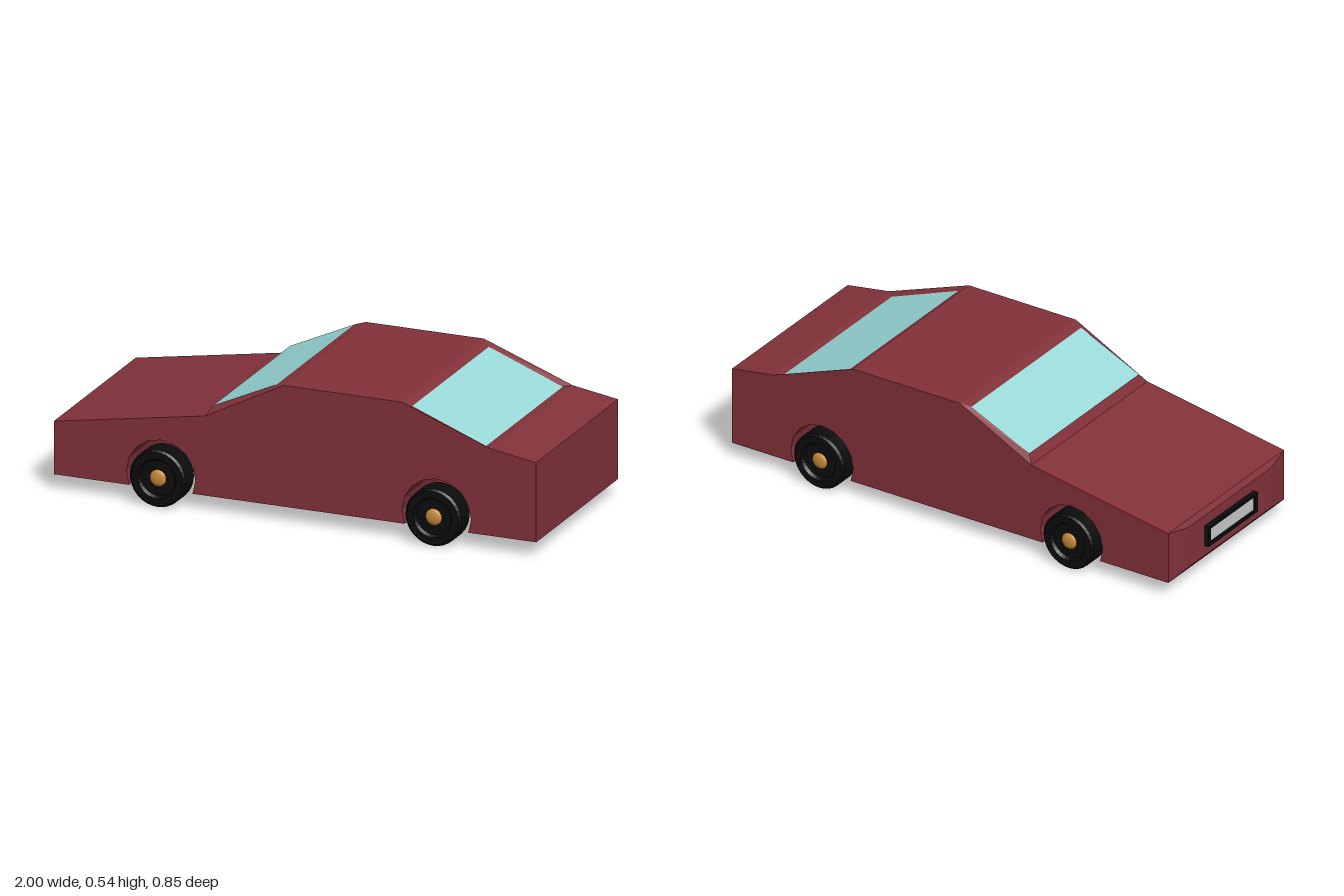
import * as THREE from 'three';

const Z0 = -0.4, Z1 = 0.38;
const WHEEL_X = [-0.53, 0.59], WHEEL_Y = 0.115;

const mat = (color) => new THREE.MeshStandardMaterial({ color });
const paint = mat(0x83323a), glass = mat(0x9adada), rubber = mat(0x0c0c0c);
const brass = mat(0xc98c3c), metal = mat(0xcccccc);

function addMesh(parent, name, geometry, material) {
  const mesh = new THREE.Mesh(geometry, material);
  mesh.name = name;
  parent.add(mesh);
  return mesh;
}

// Flat-shaded geometry from a list of triangle corners
function faceted(corners) {
  const g = new THREE.BufferGeometry().setFromPoints(corners);
  g.computeVertexNormals();
  return g;
}

const quad = (a, b, c, d) => [a, b, c, a, c, d];

// Four corners of a panel spanning profile points a to b across the width
const panel = (a, b, z0 = Z0, z1 = Z1) =>
  [[a, z0], [b, z0], [b, z1], [a, z1]].map(([p, z]) => new THREE.Vector3(p[0], p[1], z));

// Bevelled border joining an outer panel to an inner one
function border(outer, inner) {
  return outer.flatMap((p, i) => {
    const j = (i + 1) % 4;
    return quad(p, outer[j], inner[j], inner[i]);
  });
}

// Side outline, counter-clockwise, with both wheel arches
function bodyOutline() {
  const pts = [[-0.965, 0.06]];
  const r = 0.14, dip = Math.asin((WHEEL_Y - 0.06) / r), steps = 10;
  for (const x of WHEEL_X) {
    for (let i = 0; i <= steps; i++) {
      const t = Math.PI + dip - (i / steps) * (Math.PI + 2 * dip);
      pts.push([x + r * Math.cos(t), WHEEL_Y + r * Math.sin(t)]);
    }
  }
  pts.push([0.995, 0.06], [0.995, 0.375], [0.81, 0.405], [0.45, 0.54],
    [-0.03, 0.54], [-0.35, 0.375], [-0.965, 0.27]);
  return pts;
}

function addBody(car) {
  const pts = bodyOutline(), n = pts.length, tris = [];
  // Inset panels, keyed by the outline edge they replace
  const insets = {
    [n - 5]: { name: 'rearWindow', m: glass, p: panel([0.78, 0.403], [0.48, 0.52], -0.375, 0.353) },
    [n - 3]: { name: 'windshield', m: glass, p: panel([-0.07, 0.53], [-0.33, 0.41], -0.383, 0.355) },
    [n - 1]: { name: 'nosePanel', m: paint, p: panel([-0.98, 0.25], [-0.98, 0.08], -0.29, 0.27) },
  };
  pts.forEach((a, i) => {
    const outer = panel(a, pts[(i + 1) % n]), inset = insets[i];
    if (!inset) return tris.push(...quad(...outer));
    tris.push(...border(outer, inset.p));
    addMesh(car, inset.name, faceted(quad(...inset.p)), inset.m);
  });
  // Flat sides
  const flat = pts.map(([x, y]) => new THREE.Vector2(x, y));
  const at = (i, z) => new THREE.Vector3(flat[i].x, flat[i].y, z);
  for (const [a, b, c] of THREE.ShapeUtils.triangulateShape(flat, [])) {
    tris.push(at(a, Z1), at(b, Z1), at(c, Z1), at(c, Z0), at(b, Z0), at(a, Z0));
  }
  addMesh(car, 'body', faceted(tris), paint);
}

// Wheel centred on its axle, outer face toward +z
function makeWheel() {
  const wheel = new THREE.Group();
  wheel.name = 'wheel';
  const profile = [[0, -0.048], [0.105, -0.048], [0.113, -0.04], [0.113, 0.04],
    [0.105, 0.048], [0.078, 0.048], [0.07, 0.036], [0, 0.036]]
    .map(([r, h]) => new THREE.Vector2(r, h));
  const tireGeo = new THREE.LatheGeometry(profile, 32).rotateX(Math.PI / 2).toNonIndexed();
  tireGeo.computeVertexNormals();
  addMesh(wheel, 'tire', tireGeo, rubber);
  const hub = addMesh(wheel, 'hubCap',
    new THREE.SphereGeometry(0.033, 20, 8, 0, Math.PI * 2, 0, Math.PI / 2), brass);
  hub.rotation.x = Math.PI / 2;
  hub.scale.y = 0.4;
  hub.position.z = 0.036;
  return wheel;
}

export function createModel() {
  const car = new THREE.Group();
  car.name = 'car';
  addBody(car);

  // Wheels and axles
  for (const x of WHEEL_X) {
    for (const side of [1, -1]) {
      const wheel = makeWheel();
      wheel.position.set(x, WHEEL_Y - 0.002, side > 0 ? 0.37 : -0.378);
      if (side < 0) wheel.rotation.y = Math.PI;
      car.add(wheel);
    }
    const axle = addMesh(car, 'axle', new THREE.CylinderGeometry(0.018, 0.018, 0.7, 16), metal);
    axle.rotation.x = Math.PI / 2;
    axle.position.set(x, WHEEL_Y - 0.002, 0);
  }

  // Blank number plate in a dark frame
  const rect = (P, w, h) => {
    const p = new P();
    p.moveTo(-w, -h).lineTo;
    p.lineTo(w, -h); p.lineTo(w, h); p.lineTo(-w, h); p.closePath();
    return p;
  };
  const frameShape = rect(THREE.Shape, 0.165, 0.042);
  frameShape.holes.push(rect(THREE.Path, 0.15, 0.03));
  const plate = new THREE.Group();
  plate.name = 'numberPlate';
  plate.position.set(-0.979, 0.165, -0.015);
  plate.rotation.y = -Math.PI / 2;
  addMesh(plate, 'plateFrame',
    new THREE.ExtrudeGeometry(frameShape, { depth: 0.021, bevelEnabled: false }), rubber);
  addMesh(plate, 'plateFace', new THREE.BoxGeometry(0.3, 0.06, 0.012), metal).position.z = 0.006;
  car.add(plate);

  return car;
}
